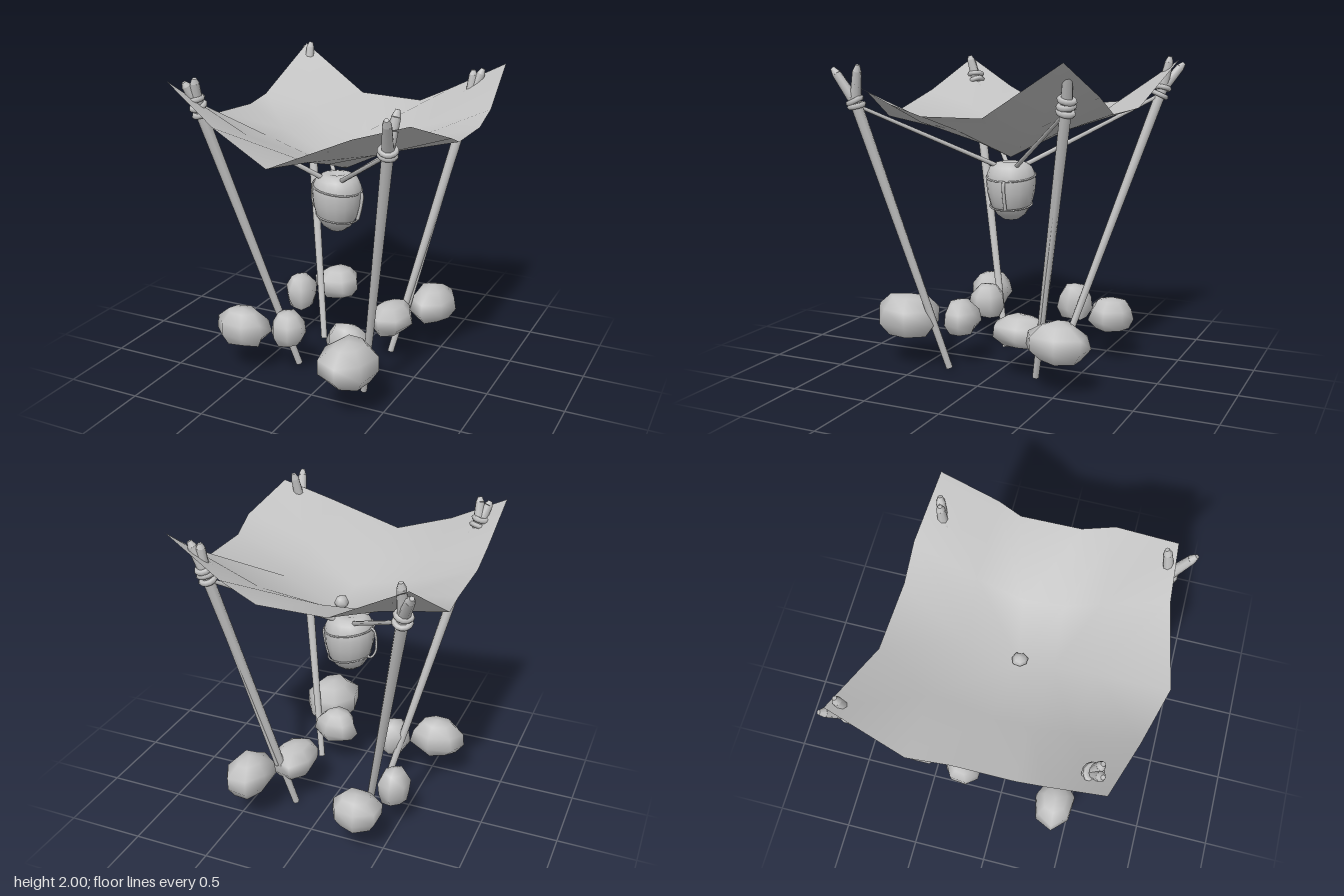
import * as THREE from 'three';
import { mergeVertices } from 'three/addons/utils/BufferGeometryUtils.js';

const V = (p) => new THREE.Vector3(...p);
const UP = new THREE.Vector3(0, 1, 0);

export function createModel() {
  const model = new THREE.Group();
  const grey = new THREE.MeshStandardMaterial({ color: 0xc2c2c2, side: THREE.DoubleSide });
  grey.name = 'plain grey';

  const add = (name, geometry, parent = model) => {
    const mesh = new THREE.Mesh(geometry, grey);
    mesh.name = name;
    parent.add(mesh);
    return mesh;
  };

  // Tapered round rod between two points
  const rod = (name, a, b, ra, rb, parent, sides = 8) => {
    const p = V(a), q = V(b), d = q.clone().sub(p);
    const mesh = add(name, new THREE.CylinderGeometry(rb, ra, d.length(), sides), parent);
    mesh.position.copy(p).add(q).multiplyScalar(0.5);
    mesh.quaternion.setFromUnitVectors(UP, d.normalize());
  };

  // Sagging cloth: rows run from back to front, columns from -x to +x
  const cloth = [
    [[-0.74, 1.97, -0.885], [-0.24, 1.68, -0.77], [0.2, 1.67, -0.75], [0.43, 1.78, -0.745], [0.81, 1.98, -0.67]],
    [[-0.83, 1.68, -0.44], [-0.42, 1.6, -0.42], [0, 1.525, -0.32], [0.38, 1.59, -0.36], [0.83, 1.755, -0.33]],
    [[-0.805, 1.66, -0.19], [-0.45, 1.55, -0.05], [0, 1.36, 0], [0.33, 1.54, -0.05], [0.81, 1.67, -0.19]],
    [[-0.81, 1.68, 0.19], [-0.45, 1.56, 0.18], [-0.01, 1.44, 0.22], [0.35, 1.55, 0.2], [0.815, 1.67, 0.19]],
    [[-0.82, 1.77, 0.37], [-0.45, 1.62, 0.43], [-0.02, 1.515, 0.47], [0.4, 1.6, 0.43], [0.84, 1.74, 0.39]],
    [[-0.84, 1.97, 0.69], [-0.45, 1.755, 0.81], [-0.04, 1.59, 0.92], [0.42, 1.78, 0.8], [0.745, 1.88, 0.77]],
  ];
  const index = [];
  for (let r = 0; r < 5; r++) for (let c = 0; c < 4; c++) {
    const a = r * 5 + c, b = a + 1, d = a + 5, e = a + 6;
    // Fold each panel along the diagonal running towards the centre
    if ((r < 2) === (c < 2)) index.push(a, d, e, a, e, b);
    else index.push(a, d, b, b, d, e);
  }
  const canopy = new THREE.BufferGeometry();
  canopy.setAttribute('position', new THREE.Float32BufferAttribute(cloth.flat(2), 3));
  canopy.setIndex(index);
  canopy.computeVertexNormals();
  add('canopy', canopy);

  // Irregular stone, open underneath unless the sweep is 1
  const stone = (name, [x, y, z], [sx, sy, sz], seed, sweep = 0.76) => {
    let g = new THREE.SphereGeometry(1, 7, 4, seed, Math.PI * 2, 0, Math.PI * sweep);
    g.deleteAttribute('uv');
    g.deleteAttribute('normal');
    g = mergeVertices(g, 1e-3);
    const p = g.attributes.position;
    for (let i = 0; i < p.count; i++) {
      const h = Math.sin(i * 12.9898 + seed * 78.233) * 43758.5453;
      const k = 0.9 + 0.2 * (h - Math.floor(h));
      p.setXYZ(i, p.getX(i) * k, p.getY(i) * Math.min(k, 1), p.getZ(i) * k);
    }
    g.scale(sx, sy, sz);
    g.computeVertexNormals();
    add(name, g).position.set(x, y, z);
  };

  // Stones wedged in pairs around the foot of each pole: x, z, half width, half depth, top
  [
    [-0.55, 0.4, 0.185, 0.14, 0.45], [-0.27, 0.3, 0.12, 0.12, 0.44],
    [-0.48, -0.27, 0.11, 0.13, 0.45], [-0.345, -0.58, 0.17, 0.155, 0.42],
    [0.25, -0.19, 0.14, 0.2, 0.41], [0.43, -0.5, 0.15, 0.2, 0.45],
    [0.305, 0.59, 0.18, 0.22, 0.48], [0.15, 0.285, 0.15, 0.12, 0.43],
  ].forEach(([x, z, w, d, top], i) => {
    const h = (top - 0.21) / 1.68;
    stone('footStone' + (i + 1), [x, 0.21 + 0.73 * h, z], [w, h, d], i + 1);
  });

  // Pebble weighing down the middle of the cloth
  stone('centrePebble', [0, 1.405, 0.01], [0.045, 0.04, 0.05], 11, 1);

  // Leaning poles: foot, fork, two prong tips, lashing heights
  const poles = [
    { name: 'frontLeft', foot: [0.28, 0, 0.31], fork: [0.622, 1.76, 0.765],
      tips: [[0.66, 1.93, 0.885], [0.65, 1.95, 0.71]], ties: [1.705, 1.735] },
    { name: 'frontRight', foot: [-0.27, 0, 0.16], fork: [-0.7, 1.84, 0.59],
      tips: [[-0.745, 1.96, 0.645], [-0.68, 1.985, 0.63]], ties: [1.76, 1.81, 1.855] },
    { name: 'backLeft', foot: [0.215, 0, -0.27], fork: [0.605, 1.78, -0.615],
      tips: [[0.67, 1.94, -0.64], [0.61, 1.93, -0.625]], ties: [1.7, 1.735, 1.77] },
    { name: 'backRight', foot: [-0.29, 0, -0.25], fork: [-0.69, 1.81, -0.8],
      tips: [[-0.765, 1.945, -0.91], [-0.68, 1.99, -0.84]], ties: [1.74, 1.785] },
  ];
  const pot = { x: -0.05, z: 0.02 };

  for (const { name, foot, fork, tips, ties } of poles) {
    const pole = new THREE.Group();
    pole.name = name + 'Pole';
    model.add(pole);
    rod('shaft', foot, fork, 0.022, 0.036, pole);
    for (const tip of tips) {
      const neck = V(fork).lerp(V(tip), 0.8).toArray();
      const base = V(fork).lerp(V(foot), 0.02).toArray();
      rod('prong', base, neck, 0.036, 0.028, pole);
      rod('prongTip', neck, tip, 0.028, 0.014, pole);
    }
    // Rope lashing rings
    const axis = V(fork).sub(V(foot)).normalize();
    const at = (y) => V(foot).lerp(V(fork), y / fork[1]);
    ties.forEach((y, i) => {
      const ring = add('lashing', new THREE.TorusGeometry(0.042, 0.018, 6, 12), pole);
      ring.position.copy(at(y));
      ring.quaternion.setFromUnitVectors(new THREE.Vector3(0, 0, 1), axis);
      ring.rotateX(i % 2 ? 0.15 : -0.1);
    });
    // Rope from the lashing down to the rim of the pot
    const start = at(ties[0]);
    const dir = Math.atan2(start.z - pot.z, start.x - pot.x);
    rod('hangingRope', start.toArray(),
      [pot.x + 0.09 * Math.cos(dir), 1.3, pot.z + 0.09 * Math.sin(dir)], 0.012, 0.016, pole, 6);
  }

  // Thin brace lashed beside the back left pole
  rod('brace', [0.6, 1.72, -0.61], [0.31, 0.32, -0.35], 0.018, 0.014, model, 6);

  // Hanging pot
  const profile = [[0, 0.945], [0.05, 0.952], [0.095, 0.985], [0.135, 1.05], [0.155, 1.13], [0.162, 1.2],
    [0.155, 1.25], [0.135, 1.295], [0.1, 1.32], [0.06, 1.327], [0, 1.31]];
  const vessel = add('pot', new THREE.LatheGeometry(profile.map(([r, y]) => new THREE.Vector2(r, y)), 16));
  vessel.position.set(pot.x, 0, pot.z);

  // Cords around the pot, higher on its right
  for (const [y, r] of [[1.235, 0.16], [1.045, 0.137]]) {
    const cord = add('potCord', new THREE.TorusGeometry(r, 0.006, 5, 24));
    cord.position.set(pot.x, y, pot.z);
    cord.rotation.set(Math.PI / 2, -0.14, 0);
  }
  // Upright cords: one bowed out as a handle, one lying against the side
  const tube = (name, points, r) => add(name,
    new THREE.TubeGeometry(new THREE.CatmullRomCurve3(points.map(V)), 16, r, 6));
  tube('handle', [[-0.2, 1.265, 0], [-0.225, 1.25, 0], [-0.24, 1.18, 0], [-0.235, 1.1, 0], [-0.2, 1.055, 0], [-0.18, 1.065, 0]], 0.008);
  tube('sideCord', [[0.107, 1.215, 0], [0.115, 1.19, 0], [0.105, 1.11, 0], [0.085, 1.03, 0]], 0.012);

  return model;
}
